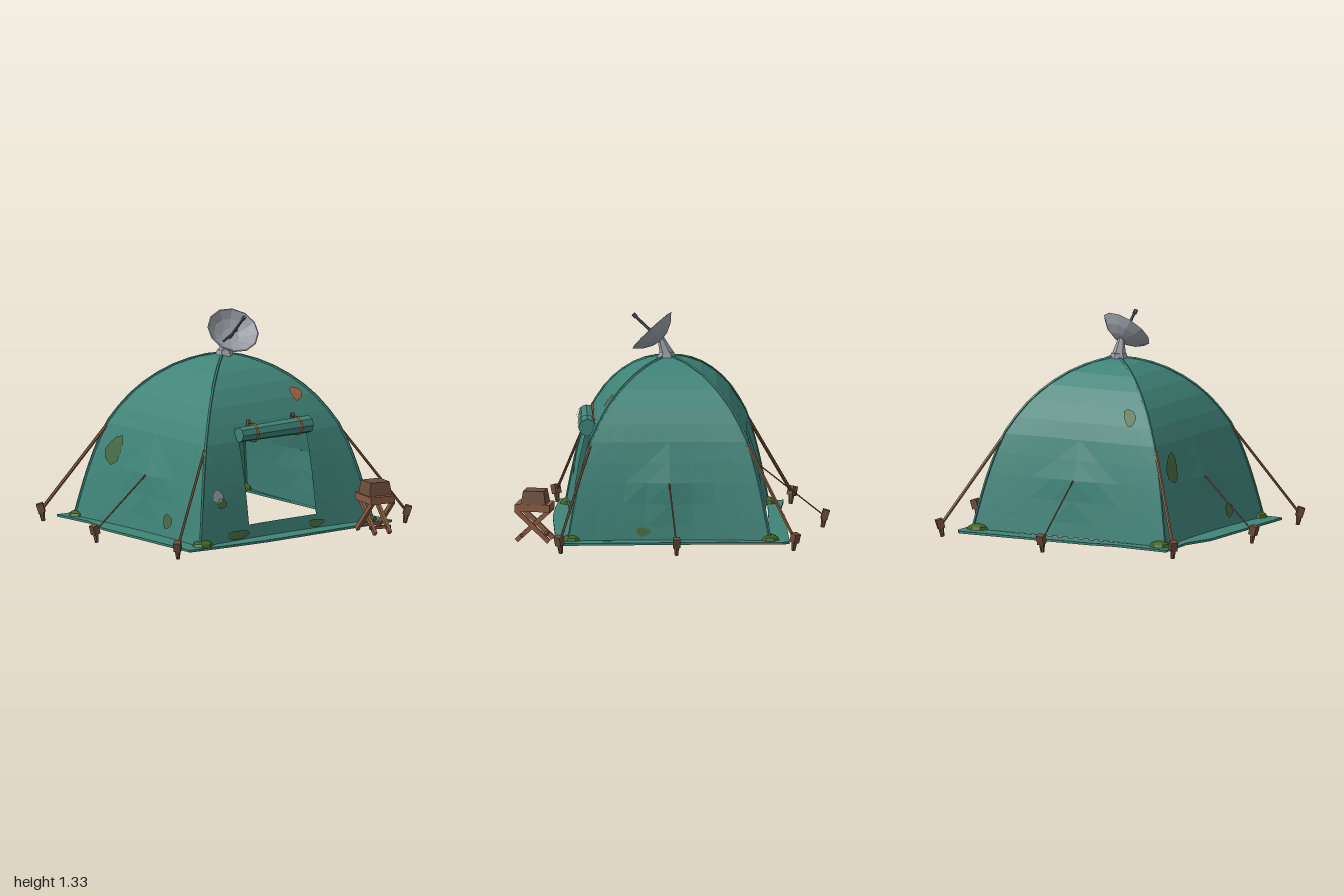
import * as THREE from 'three';

const V = (x, y, z) => new THREE.Vector3(x, y, z);
const mat = (name, color, side = THREE.FrontSide) => {
  const m = new THREE.MeshStandardMaterial({ color, side });
  m.name = name;
  return m;
};

// Tent profile: height and fraction of the base half-width
const ROWS = [[0.035, 1], [0.12, 0.975], [0.25, 0.935], [0.38, 0.89], [0.5, 0.84], [0.62, 0.78],
  [0.72, 0.7], [0.82, 0.6], [0.91, 0.475], [0.985, 0.33], [1.035, 0.18], [1.056, 0.07], [1.062, 0]];
const HX = 0.67, HZ = 0.615, CZ = 0.02, DOOR = 0.26, DOOR_TOP = 0.62, DOOR_BOTTOM = 0.12;
// Four walls: direction along the wall and direction outward
const SIDES = [
  { name: 'frontWall', along: V(1, 0, 0), out: V(0, 0, 1), ha: HX, ho: HZ },
  { name: 'rightWall', along: V(0, 0, -1), out: V(1, 0, 0), ha: HZ, ho: HX },
  { name: 'backWall', along: V(-1, 0, 0), out: V(0, 0, -1), ha: HX, ho: HZ },
  { name: 'leftWall', along: V(0, 0, 1), out: V(-1, 0, 0), ha: HZ, ho: HX },
];

function frac(y) {
  for (let i = 1; i < ROWS.length; i++) {
    const [y0, f0] = ROWS[i - 1], [y1, f1] = ROWS[i];
    if (y <= y1) return f0 + (f1 - f0) * (y - y0) / (y1 - y0);
  }
  return 0;
}

// Point on a wall: t runs -1..1 between ridges; cloth sags inward and is pinched by the side ropes
function wallPoint(s, t, y, lift = 0) {
  const w = SIDES[s], f = frac(y);
  let o = w.ho * f - 0.035 * (1 - t * t) * Math.max(0, 1 - y / 0.7);
  if (s > 0) o += 0.025 * Math.max(0, 1 - Math.abs(t) / 0.4 - Math.abs(y - 0.38) / 0.2);
  return V(0, y + lift * 0.5, CZ).addScaledVector(w.along, t * w.ha * f).addScaledVector(w.out, o + lift);
}

function facesToGeometry(points) {
  const g = new THREE.BufferGeometry().setFromPoints(points);
  g.computeVertexNormals();
  return g;
}

// Wall grid; the front one leaves a straight-sided door opening
function wallGeometry(s) {
  const cols = [-1, -0.75, -0.49, -0.25, 0, 0.25, 0.49, 0.75, 1];
  const warp = (t, y) => {
    if (s > 0 || y > DOOR_TOP) return t;
    const d = DOOR / (HX * frac(y)), a = Math.abs(t);
    return Math.sign(t) * (a <= 0.49 ? a / 0.49 * d : d + (a - 0.49) / 0.51 * (1 - d));
  };
  const pts = [];
  for (let r = 0; r < ROWS.length - 1; r++) for (let c = 0; c < cols.length - 1; c++) {
    const y0 = ROWS[r][0], y1 = ROWS[r + 1][0];
    const inDoor = Math.abs(cols[c] + cols[c + 1]) / 2 < 0.49 && y0 >= DOOR_BOTTOM && y1 <= DOOR_TOP;
    if (s === 0 && inDoor) continue;
    const p = (t, y) => wallPoint(s, warp(t, y), y);
    const A = p(cols[c], y0), B = p(cols[c + 1], y0), C = p(cols[c + 1], y1), D = p(cols[c], y1);
    if (c < 4) pts.push(A, B, C, A, C, D);
    else pts.push(A, B, D, B, C, D);
  }
  return facesToGeometry(pts);
}

export function createModel() {
  const root = new THREE.Group();
  root.name = 'campTent';
  const cloth = mat('teal canvas', 0x3f8378, THREE.DoubleSide);
  const rope = mat('rope brown', 0x83573f);
  const wood = mat('stool wood', 0x8a5a42);
  const dark = mat('dark wood', 0x6b4c3c);
  const metal = mat('dish grey', 0x9699a2, THREE.DoubleSide);
  const strut = mat('dark metal', 0x54575e);
  const rust = mat('orange patch', 0xa0643f, THREE.DoubleSide);
  const moss = mat('moss green', 0x3f6420);
  const olive = mat('olive stain', 0x466a42, THREE.DoubleSide);
  const pale = mat('pale patch', 0x9aa8a4);

  const add = (name, geo, material, parent = root) => {
    let g = geo;
    if (g.index) g = g.toNonIndexed();
    g.computeVertexNormals();
    const m = new THREE.Mesh(g, material);
    m.name = name;
    parent.add(m);
    return m;
  };
  const box = (name, w, h, d, x, y, z, material, parent) => {
    const m = add(name, new THREE.BoxGeometry(w, h, d), material, parent);
    m.position.set(x, y, z);
    return m;
  };
  const rod = (name, a, b, r, material, parent, r2 = r) => {
    const m = add(name, new THREE.CylinderGeometry(r2, r, a.distanceTo(b), 6), material, parent);
    m.position.copy(a).lerp(b, 0.5);
    m.quaternion.setFromUnitVectors(V(0, 1, 0), b.clone().sub(a).normalize());
    return m;
  };

  // Canvas walls and ridge seams
  SIDES.forEach((w, s) => {
    add(w.name, wallGeometry(s), cloth);
    const path = new THREE.CatmullRomCurve3(ROWS.map(([y]) => wallPoint(s, 1, y)));
    add('ridgeSeam', new THREE.TubeGeometry(path, 14, 0.009, 5), cloth);
  });

  // Ground skirt with an open middle
  const outline = [[-0.73, -0.69], [-0.36, -0.665], [-0.2, -0.69], [0.7, -0.71], [0.73, -0.67], [0.72, -0.3],
    [0.76, 0.71], [-0.2, 0.72], [-0.5, 0.7], [-0.78, 0.67], [-0.77, -0.2], [-0.71, -0.4]];
  const toShape = p => p.map(([x, z]) => new THREE.Vector2(x, -z));
  const skirt = new THREE.Shape(toShape(outline));
  skirt.holes.push(new THREE.Path(toShape([[-0.635, -0.59], [-0.635, 0.6], [0.635, 0.6], [0.635, -0.59]])));
  const skirtMesh = add('groundSkirt', new THREE.ExtrudeGeometry(skirt, { depth: 0.014, bevelEnabled: false }), cloth);
  skirtMesh.rotation.x = -Math.PI / 2;
  skirtMesh.position.y = 0.024;

  // Rolled-up door flap with two straps
  const roll = add('doorRoll', new THREE.CylinderGeometry(0.046, 0.054, 0.54, 8), cloth);
  roll.rotation.z = Math.PI / 2;
  roll.position.set(-0.005, 0.665, 0.515);
  for (const x of [-0.17, 0.17]) {
    const strap = add('doorStrap', new THREE.CylinderGeometry(0.06, 0.06, 0.02, 10, 1, true), rust);
    strap.rotation.z = Math.PI / 2;
    strap.position.set(x, 0.667, 0.515);
    box('strapEnd', 0.02, 0.06, 0.012, x, 0.71, 0.478, rust);
  }

  // Stains and sewn patches following the cloth
  const patch = (name, s, along, y, ra, ry, material, slant = 0) => {
    const rim = [], pts = [], n = 10;
    const at = (a, h) => {
      const yy = Math.max(0.04, h);
      return wallPoint(s, a / (SIDES[s].ha * frac(yy)), yy, 0.008);
    };
    for (let i = 0; i < n; i++) {
      const q = i / n * Math.PI * 2, k = 1 + 0.12 * Math.sin(3 * q + y * 9);
      rim.push(at(along + k * (ra * Math.cos(q) + slant * Math.sin(q)), y + k * ry * Math.sin(q)));
    }
    for (let i = 0; i < n; i++) pts.push(at(along, y), rim[i], rim[(i + 1) % n]);
    add(name, facesToGeometry(pts), material);
  };
  patch('orangePatch', 0, 0.27, 0.83, 0.042, 0.038, rust);
  patch('palePatch', 0, -0.49, 0.315, 0.042, 0.04, pale);
  patch('stain', 0, -0.465, 0.27, 0.038, 0.032, olive);
  patch('stain', 0, -0.36, 0.065, 0.09, 0.03, olive);
  patch('stain', 0, 0.25, 0.065, 0.06, 0.025, olive);
  patch('stain', 1, -0.16, 0.085, 0.045, 0.028, olive);
  patch('stain', 2, 0.31, 0.77, 0.042, 0.05, olive, -0.02);
  patch('stain', 3, -0.35, 0.47, 0.07, 0.09, olive, 0.02);
  patch('stain', 3, 0.25, 0.13, 0.045, 0.045, olive);
  const skirtStain = add('skirtStain', new THREE.CircleGeometry(0.025, 8), olive);
  skirtStain.rotation.x = -Math.PI / 2;
  skirtStain.position.set(0.7, 0.041, 0.4);

  // Low moss mounds at the corners
  for (const sx of [-1, 1]) for (const z of [-0.59, 0.615]) {
    const m = add('cornerMoss', new THREE.SphereGeometry(1, 7, 3, 0, Math.PI * 2, 0, Math.PI / 2), moss);
    m.scale.set(0.07, 0.035, 0.06);
    m.position.set(sx * 0.635, 0.039, z);
  }

  // Guy ropes and stakes
  const guy = (from, x, z, r) => {
    rod('guyRope', from, V(x, 0.07, z), r, rope);
    const stake = new THREE.Group();
    stake.name = 'stake';
    stake.position.set(x, 0, z);
    stake.rotation.y = Math.atan2(x, z);
    rod('stakePeg', V(0, 0, -0.012), V(0, 0.07, 0), 0.012, dark, stake, 0.02);
    const head = box('stakeHead', 0.044, 0.058, 0.042, 0, 0.08, 0.004, dark, stake);
    head.rotation.x = 0.3;
    root.add(stake);
  };
  for (const sx of [-1, 1]) {
    guy(V(sx * 0.53, 0.6, -0.46), sx * 0.81, -0.74, 0.011);
    guy(V(sx * 0.53, 0.6, 0.5), sx * 0.89, 0.69, 0.008);
    guy(V(sx * 0.605, 0.38, 0.02), sx * 0.965, -0.02, 0.005);
  }
  guy(V(0, 0.38, -0.54), 0, -0.93, 0.004);

  // Satellite dish on the peak
  rod('dishBase', V(0, 1.04, 0.03), V(0, 1.085, 0.03), 0.062, metal, root, 0.045);
  rod('dishNeck', V(0, 1.075, 0.03), V(0, 1.17, 0.065), 0.042, metal, root, 0.02);
  const dish = new THREE.Group();
  dish.name = 'dish';
  dish.position.set(0.012, 1.157, 0.062);
  dish.quaternion.setFromUnitVectors(V(0, 1, 0), V(-0.2, 0.7, 0.67).normalize());
  const bowl = [[0, 0], [0.06, 0.012], [0.115, 0.04], [0.162, 0.085], [0.155, 0.087], [0.11, 0.048], [0.055, 0.022], [0, 0.012]];
  add('dishBowl', new THREE.LatheGeometry(bowl.map(([x, y]) => new THREE.Vector2(x, y)), 12), metal, dish);
  rod('feedBrace', V(-0.07, 0.03, 0.02), V(0.06, 0.03, -0.02), 0.007, strut, dish);
  root.add(dish);
  rod('feedArm', V(0.005, 1.17, 0.08), V(-0.005, 1.305, 0.22), 0.011, strut, root, 0.008);
  rod('feedTip', V(-0.005, 1.3, 0.215), V(-0.006, 1.318, 0.234), 0.013, strut);

  // Folding stool with a crate on it
  const stool = new THREE.Group();
  stool.name = 'stool';
  stool.position.set(0.525, 0, 0.838);
  stool.rotation.y = -0.2;
  box('stoolSeat', 0.165, 0.044, 0.215, 0, 0.228, 0, wood, stool);
  for (const sx of [-1, 1]) for (const d of [-1, 1]) {
    const x = sx * (d > 0 ? 0.07 : 0.05);
    const leg = box('stoolLeg', 0.02, 0.28, 0.028, x, 0.118, 0, wood, stool);
    leg.rotation.x = d * 0.82;
  }
  for (const sz of [-1, 1]) box('stoolRung', 0.14, 0.018, 0.018, 0, 0.055, sz * 0.068, wood, stool);
  const crate = add('crate', new THREE.CylinderGeometry(0.09, 0.108, 0.082, 4, 1).rotateY(Math.PI / 4), dark, stool);
  crate.position.set(0.005, 0.29, -0.005);
  root.add(stool);

  root.traverse(o => { if (o.isMesh) o.geometry.deleteAttribute('uv'); });
  return root;
}
